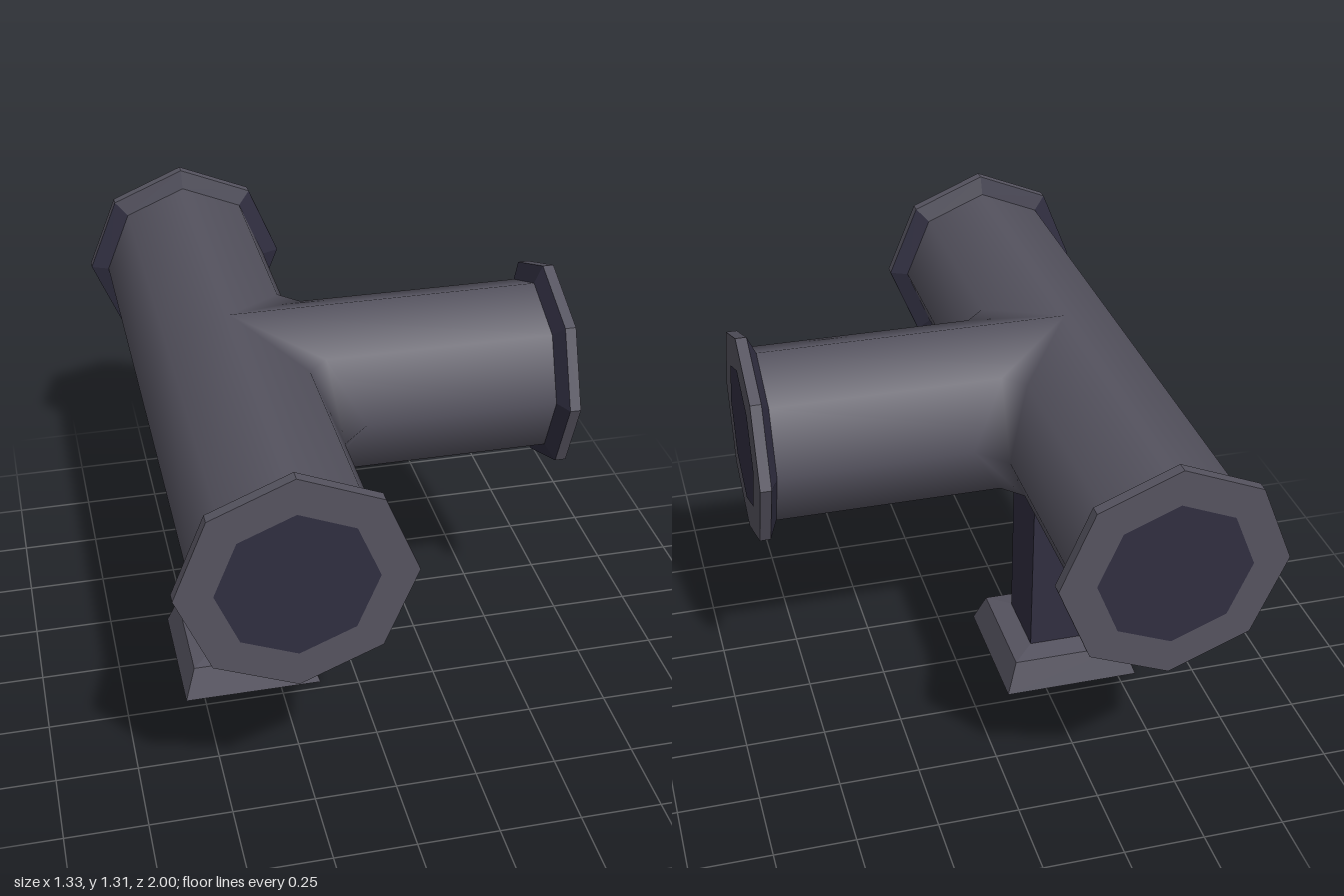
import * as THREE from 'three';

const R = 0.27, RIM = 0.325, CX = -0.34, CY = 0.985, FILLET = 0.085;

export function createModel() {
  const group = new THREE.Group();
  const grey = new THREE.MeshStandardMaterial({ color: 0x55535f });
  const greyFlat = new THREE.MeshStandardMaterial({ color: 0x55535f, flatShading: true });
  const dark = new THREE.MeshStandardMaterial({ color: 0x302e40, flatShading: true });

  const add = (parent, name, geometry, material) => {
    const mesh = new THREE.Mesh(geometry, material);
    mesh.name = name;
    parent.add(mesh);
    return mesh;
  };

  // One octagonal arm along its own +z, from the junction to a flanged end
  function addArm(name, length, yaw) {
    const arm = new THREE.Group();
    arm.name = name;
    arm.position.set(CX, CY, 0);
    arm.rotation.y = yaw;
    group.add(arm);
    const tube = (r0, r1, z0, z1, open) =>
      new THREE.CylinderGeometry(r1, r0, z1 - z0, 8, 1, open)
        .translate(0, (z0 + z1) / 2, 0).rotateX(Math.PI / 2);
    add(arm, 'pipe', tube(R, R, 0, length - 0.055, true), grey);
    add(arm, 'flangeTaper', tube(R, RIM, length - 0.06, length - 0.035, true), dark);
    add(arm, 'flangeRim', tube(RIM, RIM, length - 0.035, length - 0.002, false), greyFlat);
    const cap = new THREE.CircleGeometry(0.22, 8).translate(0, 0, length);
    add(arm, 'pipeOpening', cap, dark);
  }
  addArm('frontArm', 1, 0);
  addArm('backArm', 1, Math.PI);
  addArm('sideArm', 1, Math.PI / 2);

  // Sloped blend in each inner corner between the main pipe and the side arm
  function cornerBlend(side) {
    const pos = [], nor = [], index = [];
    for (let k = 0; k <= 4; k++) {
      const a = (k - 2) * Math.PI / 4, c = Math.cos(a), s = Math.sin(a);
      const near = R * c, far = (R + FILLET) * c;
      pos.push(CX + far, CY + R * s, side * near, CX + near, CY + R * s, side * far);
      nor.push(0, s, side * c, c, s, 0);
      if (k === 4) continue;
      const b = 2 * k, m = b + 1;
      if (side > 0) index.push(b, b + 2, m, m, b + 2, m + 2);
      else index.push(b, m, b + 2, m, m + 2, b + 2);
    }
    const g = new THREE.BufferGeometry();
    g.setAttribute('position', new THREE.Float32BufferAttribute(pos, 3));
    g.setAttribute('normal', new THREE.Float32BufferAttribute(nor, 3));
    g.setIndex(index);
    return g;
  }
  add(group, 'frontCornerBlend', cornerBlend(1), grey);
  add(group, 'backCornerBlend', cornerBlend(-1), grey);

  // Square post and its stepped foot
  const frustum = (h0, h1, y0, y1) =>
    new THREE.CylinderGeometry(h1 * Math.SQRT2, h0 * Math.SQRT2, y1 - y0, 4)
      .rotateY(Math.PI / 4).translate(CX, (y0 + y1) / 2, 0);
  add(group, 'post', frustum(0.115, 0.115, 0.1, 0.8), dark);
  add(group, 'foot', frustum(0.22, 0.185, 0, 0.1), greyFlat);
  add(group, 'footTop', frustum(0.185, 0.115, 0.1, 0.112), greyFlat);

  return group;
}
